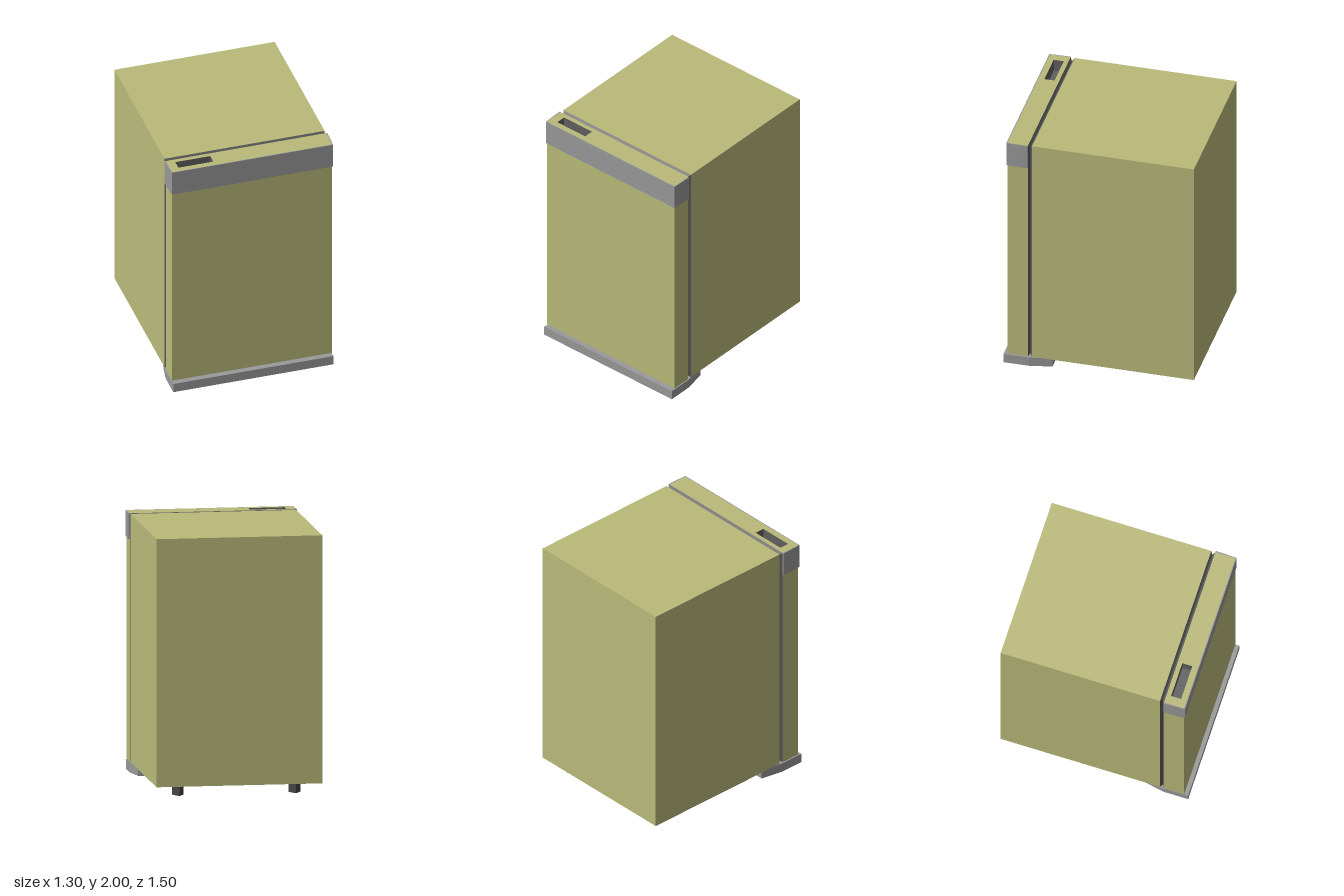
import * as THREE from 'three';

const paint = (color) => new THREE.MeshStandardMaterial({ color, flatShading: true });

// Extrudes a plan outline of [x, z] points upward from y0 to y1
function slab(outline, y0, y1, hole) {
  const toPoints = (list) => list.map(([x, z]) => new THREE.Vector2(x, -z));
  const shape = new THREE.Shape(toPoints(outline));
  if (hole) shape.holes.push(new THREE.Path(toPoints(hole)));
  const geo = new THREE.ExtrudeGeometry(shape, { depth: y1 - y0, bevelEnabled: false });
  return geo.rotateX(-Math.PI / 2).translate(0, y0, 0);
}

const rect = (x0, x1, z0, z1) => [[x0, z1], [x1, z1], [x1, z0], [x0, z0]];

function box(x0, x1, y0, y1, z0, z1, depthSegments = 1) {
  return new THREE.BoxGeometry(x1 - x0, y1 - y0, z1 - z0, 1, 1, depthSegments)
    .translate((x0 + x1) / 2, (y0 + y1) / 2, (z0 + z1) / 2);
}

export function createModel() {
  const group = new THREE.Group();
  const enamel = paint(0xbaba7a);
  const trimGrey = paint(0x999999);
  const rubber = paint(0x5c5c5c);
  const footDark = paint(0x444444);

  const add = (name, geometry, material, parent = group) => {
    const mesh = new THREE.Mesh(geometry, material);
    mesh.name = name;
    parent.add(mesh);
    return mesh;
  };

  const W = 0.64, BOTTOM = 0.085, TOP = 2;

  // Cabinet
  add('cabinet', box(-W, W, BOTTOM, TOP, -0.75, 0.527), enamel);

  // Door seal: a box pinched in along its middle ring
  const seal = box(-W, W, BOTTOM, TOP, 0.527, 0.559, 2);
  const p = seal.attributes.position;
  const midY = (BOTTOM + TOP) / 2;
  for (let i = 0; i < p.count; i++) {
    if (Math.abs(p.getZ(i) - 0.543) < 0.004) {
      p.setX(i, p.getX(i) - Math.sign(p.getX(i)) * 0.02);
      p.setY(i, p.getY(i) - Math.sign(p.getY(i) - midY) * 0.02);
    }
  }
  seal.computeVertexNormals();
  add('doorSeal', seal, rubber);

  // Door, with a grip recess sunk into its top edge
  const door = new THREE.Group();
  door.name = 'door';
  group.add(door);
  const recessFloor = 1.9;
  add('doorPanel', box(-W, W, BOTTOM, recessFloor, 0.559, 0.72), enamel, door);
  add('doorTop', slab(rect(-W, W, 0.559, 0.72), recessFloor, TOP,
    rect(-0.575, -0.295, 0.595, 0.675)), enamel, door);
  const lining = paint(0x606060);
  lining.side = THREE.BackSide;
  add('gripRecess', box(-0.574, -0.296, recessFloor + 0.002, TOP, 0.596, 0.674), lining, door);

  // Trim band wrapped round the front and sides of the door
  add('doorTrim', slab([
    [-0.65, 0.559], [-0.65, 0.62], [-0.645, 0.728], [0.645, 0.728], [0.65, 0.62], [0.65, 0.559],
    [W, 0.559], [W, 0.72], [-W, 0.72], [-W, 0.559],
  ], 1.8, TOP), trimGrey, door);

  // Kick plate, narrowing toward its rear corners
  add('kickPlate', slab([
    [-W, 0.752], [W, 0.752], [W, 0.55], [0.605, 0.375], [-0.605, 0.375], [-W, 0.55],
  ], 0, 0.075), trimGrey);

  // Three-sided rear feet
  for (const side of [-1, 1]) {
    const foot = add(side > 0 ? 'rearFootLeft' : 'rearFootRight',
      new THREE.CylinderGeometry(0.053, 0.053, BOTTOM, 3), footDark);
    foot.rotation.y = Math.PI;
    foot.position.set(side * 0.45, BOTTOM / 2, -0.612);
  }

  return group;
}
